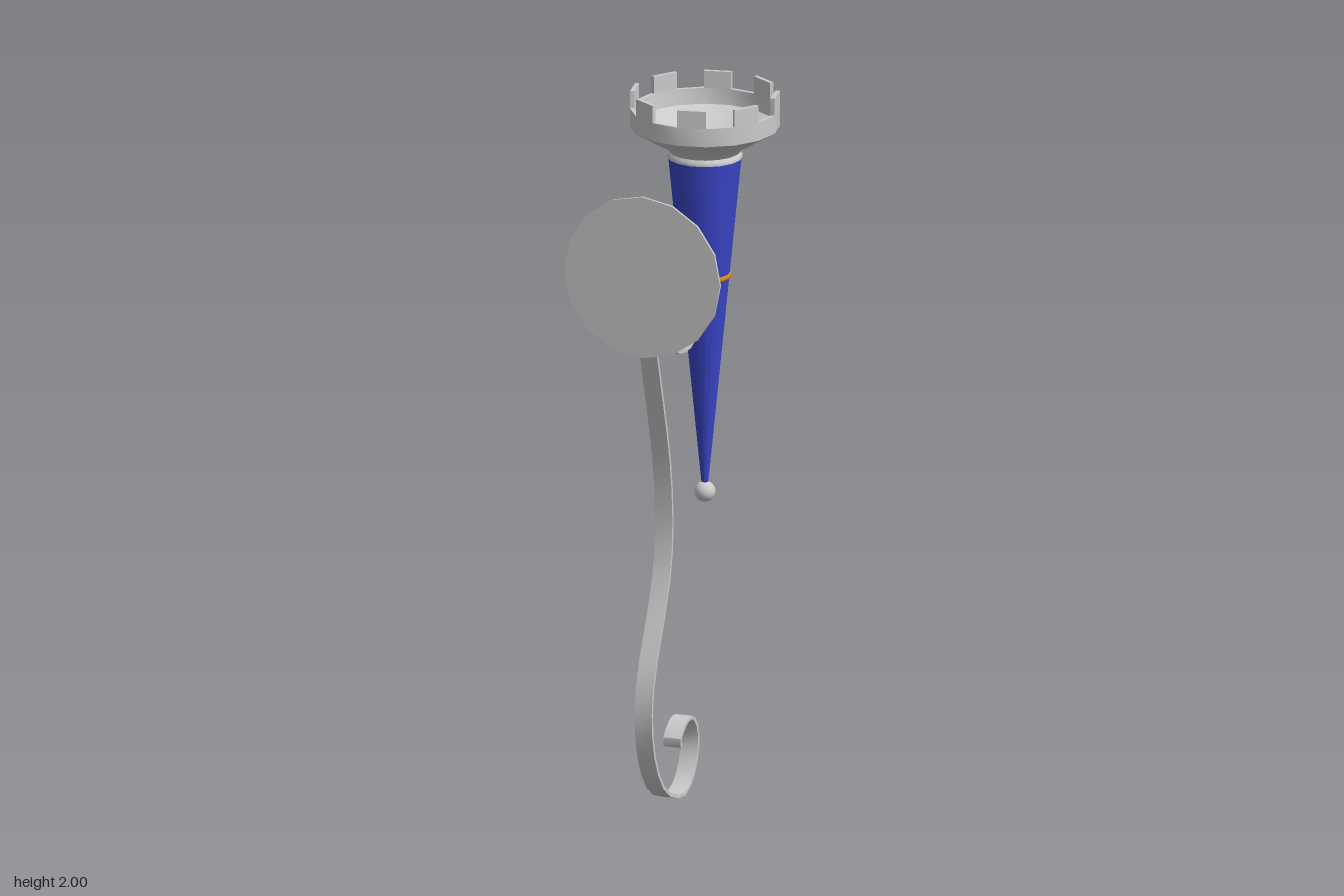
import * as THREE from 'three';
import { toCreasedNormals } from 'three/addons/utils/BufferGeometryUtils.js';

const SIDES = 16;
const TORCH_Z = -0.133;
const metal = new THREE.MeshStandardMaterial({ color: 0xcccccc });
const blue = new THREE.MeshStandardMaterial({ color: 0x3a46c8 });
const gold = new THREE.MeshStandardMaterial({ color: 0xd08a20 });

function add(parent, name, geometry, material, x = 0, y = 0, z = 0) {
  const mesh = new THREE.Mesh(geometry, material);
  mesh.name = name;
  mesh.position.set(x, y, z);
  parent.add(mesh);
  return mesh;
}

// Flat band following a path of [z, y] points, extruded across x
function bandGeometry(path, width, thickness) {
  const curve = new THREE.SplineCurve(path.map(([z, y]) => new THREE.Vector2(z, y)));
  const n = path.length * 2;
  const left = [], right = [];
  for (let i = 0; i <= n; i++) {
    const p = curve.getPoint(i / n), t = curve.getTangent(i / n);
    const off = new THREE.Vector2(-t.y, t.x).multiplyScalar(thickness / 2);
    left.push(p.clone().add(off));
    right.unshift(p.clone().sub(off));
  }
  const geo = new THREE.ExtrudeGeometry(new THREE.Shape([...left, ...right]), { depth: width, bevelEnabled: false });
  geo.translate(0, 0, -width / 2).rotateY(-Math.PI / 2); // shape x becomes z
  return toCreasedNormals(geo, 0.7);
}

// One battlement block spanning a single side of the cup
function merlonGeometry(inner, outer, height) {
  const a = (2 * Math.PI) / SIDES;
  const at = (r, t) => new THREE.Vector2(r * Math.cos(t), r * Math.sin(t));
  const shape = new THREE.Shape([at(inner, 0), at(outer, 0), at(outer, a), at(inner, a)]);
  return new THREE.ExtrudeGeometry(shape, { depth: height, bevelEnabled: false }).rotateX(-Math.PI / 2);
}

export function createModel() {
  const model = new THREE.Group();
  model.name = 'wallSconce';

  // Round wall plate
  const plate = new THREE.CylinderGeometry(0.235, 0.235, 0.008, SIDES).rotateX(Math.PI / 2);
  add(model, 'wallPlate', plate, metal, 0, 1.585, 0.339);

  // Scrolled bracket, from the upper curl to the lower curl
  const scroll = [
    [0.05, 1.505], [0.087, 1.525], [0.14, 1.51], [0.188, 1.452], [0.193, 1.378], [0.145, 1.32],
    [0.061, 1.3], [-0.008, 1.325], [-0.045, 1.4], [-0.045, 1.49], [-0.008, 1.58], [0.05, 1.638],
    [0.14, 1.662], [0.24, 1.638], [0.31, 1.58], [0.325, 1.5], [0.294, 1.357], [0.241, 1.18],
    [0.193, 1.003], [0.174, 0.812], [0.204, 0.643], [0.305, 0.426], [0.331, 0.283], [0.299, 0.15],
    [0.22, 0.05], [0.098, 0.006], [0.024, 0.034], [-0.019, 0.108], [-0.013, 0.177], [0.024, 0.214],
    [0.071, 0.209], [0.112, 0.175], [0.108, 0.15],
  ];
  add(model, 'scrollBracket', bandGeometry(scroll, 0.052, 0.01), metal);

  // Torch: tapered handle, ring and ball tip
  const torch = new THREE.Group();
  torch.name = 'torch';
  torch.position.z = TORCH_Z;
  model.add(torch);
  add(torch, 'handle', new THREE.CylinderGeometry(0.103, 0.008, 0.97, SIDES), blue, 0, 1.325, 0);
  add(torch, 'handleRing', new THREE.TorusGeometry(0.066, 0.009, 8, SIDES).rotateX(Math.PI / 2), gold, 0, 1.463, 0);
  add(torch, 'ballTip', new THREE.SphereGeometry(0.03, 16, 12), metal, 0, 0.83, 0);

  // Cup: outside from the neck up to the rim, then down the funnel inside
  const profile = [
    [0, 1.808], [0.106, 1.808], [0.106, 1.815], [0.1, 1.825], [0.112, 1.84], [0.135, 1.852],
    [0.21, 1.897], [0.21, 1.95], [0.198, 1.95], [0.193, 1.905], [0, 1.82],
  ].map(([r, y]) => new THREE.Vector2(r, y));
  add(torch, 'cup', toCreasedNormals(new THREE.LatheGeometry(profile, SIDES), 0.6), metal);

  // Battlements on every other side of the rim
  const merlon = merlonGeometry(0.198, 0.21, 0.05);
  for (let i = 0; i < SIDES / 2; i++) {
    add(torch, 'battlement', merlon, metal, 0, 1.95, 0).rotation.y = (i * 4 * Math.PI) / SIDES;
  }

  return model;
}
